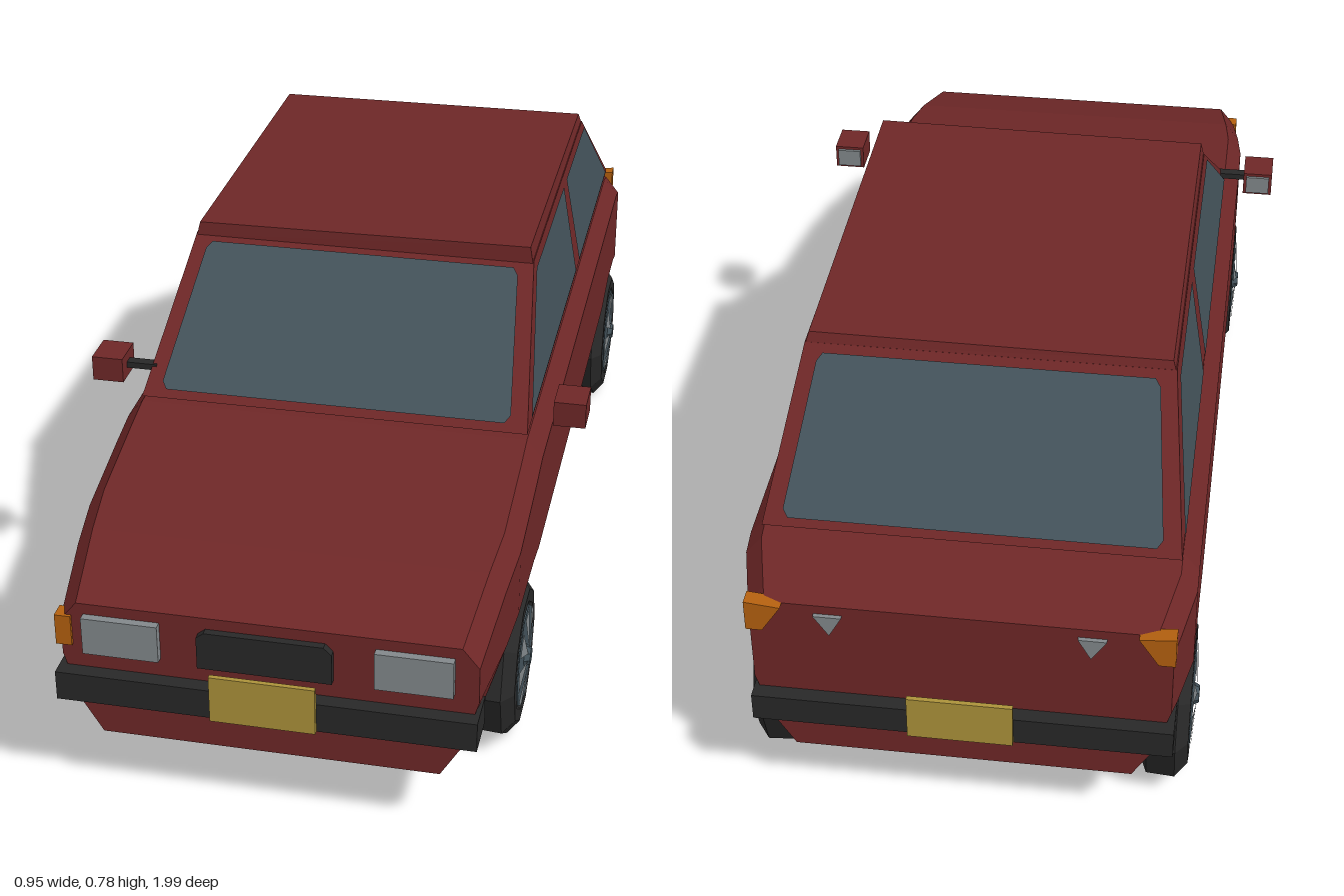
import * as THREE from 'three';

const mat = (name, color) => {
  const m = new THREE.MeshStandardMaterial({ color });
  m.name = name;
  return m;
};

// Linear interpolation through [z, value] pairs listed from front to back
function along(pairs, z) {
  for (let i = 0; i < pairs.length - 1; i++) {
    const [z0, v0] = pairs[i], [z1, v1] = pairs[i + 1];
    if (z <= z0 && z >= z1) return v0 + (v1 - v0) * (z0 - z) / (z0 - z1);
  }
  return pairs[pairs.length - 1][1];
}

function flat(geo) {
  const g = geo.index ? geo.toNonIndexed() : geo;
  g.computeVertexNormals();
  return g;
}

function faces(points) {
  const g = new THREE.BufferGeometry();
  g.setAttribute('position', new THREE.Float32BufferAttribute(points.flat(), 3));
  return flat(g);
}

// Convex polygon, corners counterclockwise from outside
function polygon(p) {
  const t = [];
  for (let i = 1; i < p.length - 1; i++) t.push(p[0], p[i], p[i + 1]);
  return t;
}

// Closed solid through rings; the first ring is counterclockwise from outside
function loft(rings) {
  const t = polygon(rings[0]);
  for (let k = 0; k < rings.length - 1; k++) {
    const n = rings[k].length;
    for (let i = 0; i < n; i++) {
      const j = (i + 1) % n;
      const a = rings[k][i], b = rings[k][j], c = rings[k + 1][i], d = rings[k + 1][j];
      t.push(a, c, b, b, c, d);
    }
  }
  t.push(...polygon([...rings[rings.length - 1]].reverse()));
  return faces(t);
}

export function createModel() {
  const car = new THREE.Group();
  car.name = 'car';
  const red = mat('dark red paint', 0x6e2727);
  const glass = mat('blue grey glass', 0x43525a);
  const black = mat('black trim', 0x282828);
  const grey = mat('light grey', 0x82888b);
  const yellow = mat('plate yellow', 0xac923a);
  const orange = mat('indicator orange', 0xb4600f);

  const add = (name, geo, m, parent = car) => {
    const mesh = new THREE.Mesh(geo, m);
    mesh.name = name;
    parent.add(mesh);
    return mesh;
  };
  // Box given by its minimum and maximum on each axis
  const box = (name, m, x0, x1, y0, y1, z0, z1) =>
    add(name, new THREE.BoxGeometry(x1 - x0, y1 - y0, z1 - z0)
      .translate((x0 + x1) / 2, (y0 + y1) / 2, (z0 + z1) / 2), m);

  // Lower body: cross-sections along z, the underside rising over the arches
  const topLine = [[0.96, 0.408], [0.8, 0.46], [0.45, 0.53], [-0.8, 0.53], [-0.96, 0.48]];
  const widthLine = [[0.96, 0.37], [0.8, 0.388], [0.68, 0.4], [-0.85, 0.4], [-0.96, 0.37]];
  const underside = [
    [0.96, 0.14], [0.8, 0.14], [0.78, 0.14], [0.78, 0.2], [0.7, 0.312], [0.52, 0.312],
    [0.45, 0.235], [0.42, 0.195], [0.42, 0.135], [-0.58, 0.135], [-0.58, 0.2],
    [-0.7, 0.325], [-0.8, 0.325], [-0.84, 0.315], [-0.93, 0.22], [-0.955, 0.14], [-0.96, 0.14],
  ];
  add('lowerBody', loft(underside.map(([z, yb]) => {
    const top = along(topLine, z), w = along(widthLine, z);
    const inset = (y) => w - (y < 0.2 ? 0.03 + (0.2 - y) * 0.6 : Math.max(0, 0.3 - y) * 0.3);
    const y1 = Math.max(yb, 0.2), y2 = Math.max(yb, 0.3);
    const half = [[inset(yb), yb], [inset(y1), y1], [w, y2], [w, top - 0.037], [w - 0.03, top]];
    return [
      ...half.map(([x, y]) => [x, y, z]),
      ...half.reverse().map(([x, y]) => [-x, y, z]),
    ];
  })), red);

  // Cabin and roof
  const rect = (x, y, zf, zb) => [[x, y, zf], [x, y, zb], [-x, y, zb], [-x, y, zf]];
  add('cabin', loft([rect(0.334, 0.758, 0.163, -0.577), rect(0.37, 0.54, 0.45, -0.83)]), red);
  add('roof', loft([
    [[0.327, 0.787, 0.165], [0.327, 0.777, -0.57], [-0.327, 0.773, -0.57], [-0.327, 0.781, 0.165]],
    rect(0.333, 0.755, 0.168, -0.578),
  ]), red);
  box('cabinSupport', black, -0.29, 0.29, 0.525, 0.545, -0.07, -0.03);

  // Window panes lying on the sloping cabin walls
  const rise = (y) => (y - 0.54) / 0.218;
  const frontZ = (y) => 0.456 - rise(y) * 0.287;
  const backZ = (y) => -0.836 + rise(y) * 0.253;
  const sideX = (y) => 0.374 - rise(y) * 0.036;
  const pane = (list) => faces(polygon(list));
  const outline = [
    [-0.325, 0.552], [0.325, 0.552], [0.335, 0.562], [0.308, 0.738], [0.298, 0.748],
    [-0.298, 0.748], [-0.308, 0.738], [-0.335, 0.562],
  ];
  add('windscreen', pane(outline.map(([x, y]) => [x, y + 0.002, frontZ(y)])), glass);
  add('rearWindow', pane(outline.map(([x, y]) => [-x, y + 0.002, backZ(y)])), glass);
  const sideWindows = {
    frontSideWindow: [[0.405, 0.552], [-0.245, 0.552], [-0.235, 0.745], [0.165, 0.745]],
    rearSideWindow: [[-0.3, 0.552], [-0.79, 0.552], [-0.575, 0.745], [-0.277, 0.745]],
  };
  for (const [name, pts] of Object.entries(sideWindows)) {
    add(name + 'Left', pane(pts.map(([z, y]) => [sideX(y), y, z])), glass);
    add(name + 'Right', pane(pts.map(([z, y]) => [-sideX(y), y, z]).reverse()), glass);
  }

  // Bumpers and number plates
  box('frontBumper', black, -0.377, 0.372, 0.22, 0.277, 0.905, 0.988);
  box('rearBumper', black, -0.377, 0.372, 0.222, 0.277, -0.988, -0.905);
  box('frontPlate', yellow, -0.096, 0.092, 0.22, 0.312, 0.988, 0.997);
  box('rearPlate', yellow, -0.096, 0.092, 0.222, 0.312, -0.997, -0.988);

  // Grille with clipped upper corners
  const grille = [[-0.122, 0.312], [0.117, 0.312], [0.117, 0.372], [0.103, 0.386], [-0.108, 0.386], [-0.122, 0.375]];
  add('grille', loft([0.974, 0.95].map((z) => grille.map(([x, y]) => [x, y, z]))), black);

  // Lamps
  box('frontIndicator', orange, -0.379, -0.35, 0.322, 0.382, 0.935, 0.966);
  for (const s of [-1, 1]) {
    const side = s > 0 ? 'Left' : 'Right';
    const span = (a, b) => (s > 0 ? [a, b] : [-b, -a]);
    box('headlight' + side, grey, ...span(0.191, 0.328), 0.314, 0.387, 0.95, 0.975);

    // Wedge-shaped tail lamp and small reversing lamp
    const wedge = (pts, z0, z1) => {
      const p = pts.map(([x, y]) => [s * x, y]);
      if (s < 0) p.reverse();
      return loft([z1, z0].map((z) => p.map(([x, y]) => [x, y, z])));
    };
    add('tailLamp' + side, wedge([[0.345, 0.425], [0.374, 0.425], [0.374, 0.487], [0.31, 0.48]], -0.974, -0.945), orange);
    add('reversingLamp' + side, wedge([[0.228, 0.42], [0.255, 0.462], [0.205, 0.462]], -0.968, -0.95), grey);

    // Door mirror
    box('doorMirror' + side, red, ...span(0.414, 0.474), 0.552, 0.601, 0.355, 0.427);
    box('mirrorGlass' + side, grey, ...span(0.42, 0.468), 0.558, 0.595, 0.349, 0.355);
  }
  box('mirrorArm', black, -0.42, -0.355, 0.57, 0.582, 0.38, 0.4);

  // Wheels
  const tyre = flat(new THREE.LatheGeometry(
    [[0, -0.042], [0.125, -0.042], [0.152, -0.03], [0.155, 0.022], [0.128, 0.044], [0.105, 0.044], [0.1, 0.036], [0, 0.036]]
      .map(([r, y]) => new THREE.Vector2(r, y)), 10).rotateZ(-Math.PI / 2));
  const disc = flat(new THREE.CylinderGeometry(0.098, 0.1, 0.01, 10).rotateZ(-Math.PI / 2).translate(0.04, 0, 0));
  const spokes = [];
  for (let i = 0; i < 8; i++) {
    const a = i * Math.PI / 4;
    const pt = (r, d, x) => [x, r * Math.sin(a + d), -r * Math.cos(a + d)];
    spokes.push(...polygon([pt(0.018, 0, 0.052), pt(0.095, -0.25, 0.047), pt(0.095, 0.25, 0.047)]));
  }
  const spokeGeo = faces(spokes);
  const hub = flat(new THREE.CylinderGeometry(0.016, 0.022, 0.012, 8).rotateZ(-Math.PI / 2).translate(0.05, 0, 0));
  for (const [end, z, y] of [['front', 0.605, 0.158], ['rear', -0.76, 0.155]]) {
    for (const s of [-1, 1]) {
      const wheel = new THREE.Group();
      wheel.name = end + 'Wheel' + (s > 0 ? 'Left' : 'Right');
      wheel.position.set(s * 0.356, y, z);
      if (s < 0) wheel.rotation.y = Math.PI;
      add('tyre', tyre, black, wheel);
      add('wheelDisc', disc, glass, wheel);
      add('spokes', spokeGeo, grey, wheel);
      add('hub', hub, glass, wheel);
      car.add(wheel);
    }
    // Axle between the pair
    box(end + 'Axle', glass, -0.33, 0.33, y - 0.018, y + 0.018, z - 0.018, z + 0.018);
  }
  box('rearAxleBeam', black, -0.32, 0.32, 0.175, 0.235, -0.82, -0.7);

  return car;
}
